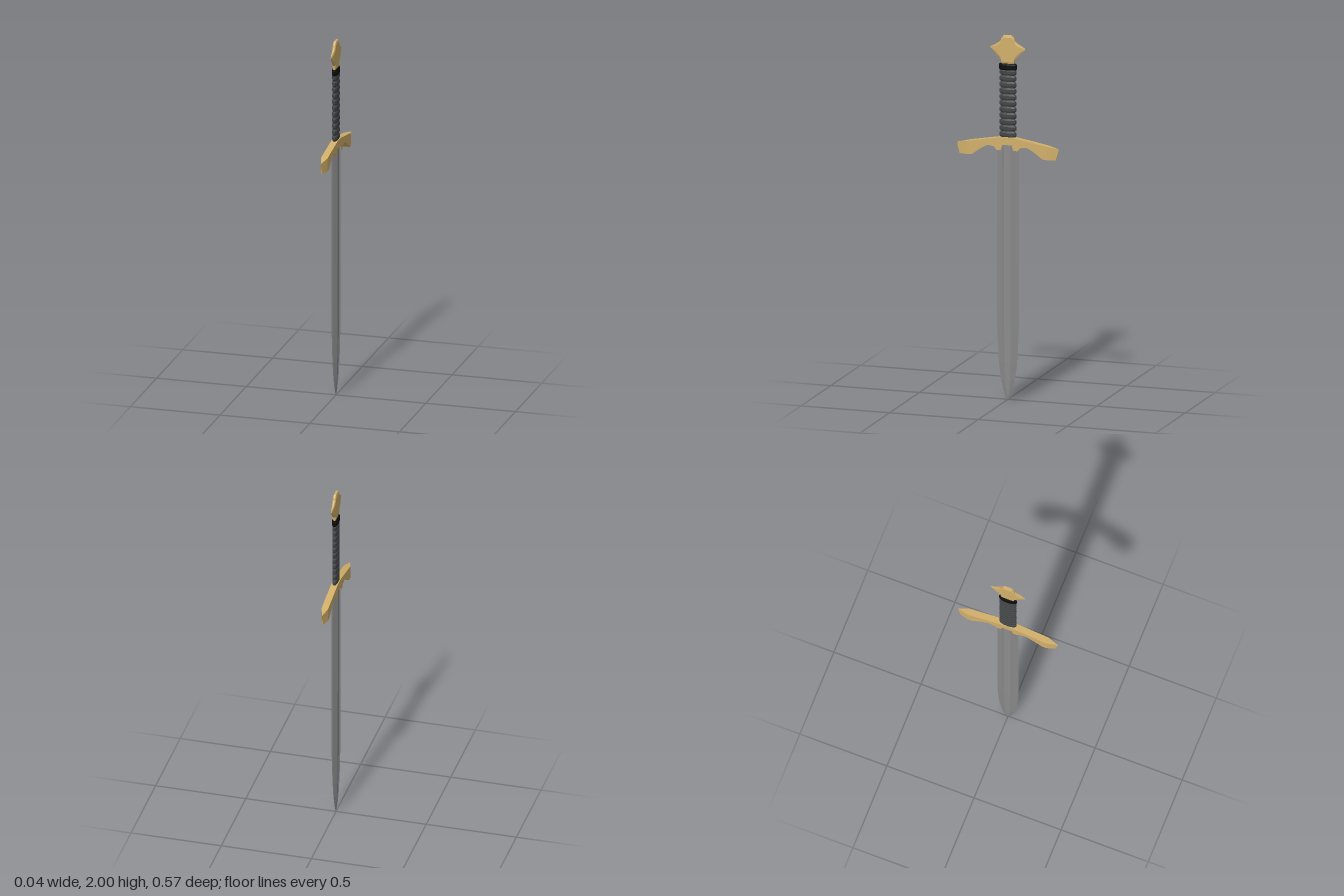
import * as THREE from 'three';

// Skin a list of closed rings (counterclockwise about the direction of travel) with flat facets
function loft(rings) {
  const pos = [];
  const tri = (a, b, c) => pos.push(...a, ...b, ...c);
  const n = rings[0].length;
  for (let i = 0; i < rings.length - 1; i++) {
    for (let j = 0; j < n; j++) {
      const k = (j + 1) % n;
      const a = rings[i][j], b = rings[i][k], c = rings[i + 1][k], d = rings[i + 1][j];
      tri(a, b, c);
      tri(a, c, d);
    }
  }
  const first = rings[0], last = rings[rings.length - 1];
  for (let j = 1; j < n - 1; j++) {
    tri(first[0], first[j + 1], first[j]);
    tri(last[0], last[j], last[j + 1]);
  }
  const g = new THREE.BufferGeometry();
  g.setAttribute('position', new THREE.Float32BufferAttribute(pos, 3));
  g.computeVertexNormals();
  return g;
}

// Repeat half-profile rows [z, top, bottom, halfThickness] on the -z side
function mirrorRows(rows) {
  const left = rows.filter(r => r[0] > 0).reverse().map(([z, ...rest]) => [-z, ...rest]);
  return [...left, ...rows];
}

export function createModel() {
  const mat = (name, color) => {
    const m = new THREE.MeshStandardMaterial({ color });
    m.name = name;
    return m;
  };
  const steel = mat('steel', 0x8c8c8c);
  const gold = mat('gold', 0xd2b06a);
  const leather = mat('dark leather', 0x434647);
  const black = mat('black', 0x0c0c0c);

  const model = new THREE.Group();
  model.name = 'sword';
  const add = (name, geometry, material) => {
    const mesh = new THREE.Mesh(geometry, material);
    mesh.name = name;
    model.add(mesh);
    return mesh;
  };

  // Blade: sharp edges, two ridges and a sunken fuller; rows are [y, half width, half thickness]
  const bladeRows = [
    [0, 0.001, 0.0005], [0.025, 0.016, 0.004], [0.06, 0.028, 0.007], [0.11, 0.04, 0.010],
    [0.2, 0.051, 0.0135], [0.3, 0.057, 0.0155], [0.4, 0.061, 0.017], [1.41, 0.061, 0.0175],
  ];
  add('blade', loft(bladeRows.map(([y, w, t]) => {
    const side = [[w, 0], [0.45 * w, t], [0.3 * w, 0.65 * t], [-0.3 * w, 0.65 * t], [-0.45 * w, t]];
    return [...side, ...side.map(([z, x]) => [-z, -x])].map(([z, x]) => [x, y, z]);
  })), steel);

  // Crossguard: drooping arms with wedge-shaped ends
  const guardRows = mirrorRows([
    [0, 1.443, 1.4, 0.018], [0.027, 1.442, 1.4, 0.018], [0.034, 1.441, 1.372, 0.018],
    [0.058, 1.437, 1.37, 0.018], [0.075, 1.434, 1.388, 0.018], [0.11, 1.428, 1.394, 0.018],
    [0.15, 1.421, 1.372, 0.018], [0.2, 1.412, 1.336, 0.018], [0.225, 1.407, 1.334, 0.018],
    [0.26, 1.4, 1.334, 0.008], [0.272, 1.398, 1.334, 0.004], [0.286, 1.395, 1.385, 0.0005],
  ]);
  add('crossguard', loft(guardRows.map(([z, top, low, t]) =>
    [[-t, low, z], [t, low, z], [t, top, z], [-t, top, z]])), gold);

  // Grip: stacked wraps, flattened sideways
  const grip = [new THREE.Vector2(0.041, 1.435)];
  const wraps = 11, pitch = 0.375 / wraps;
  for (let i = 0; i < wraps; i++) {
    const y = 1.44 + i * pitch;
    grip.push(
      new THREE.Vector2(0.039, y),
      new THREE.Vector2(0.049, y + pitch * 0.28),
      new THREE.Vector2(0.049, y + pitch * 0.72),
    );
  }
  grip.push(new THREE.Vector2(0.039, 1.815));
  const gripGeometry = new THREE.LatheGeometry(grip, 12).scale(0.33, 1, 1).toNonIndexed();
  gripGeometry.computeVertexNormals();
  add('grip', gripGeometry, leather);

  // Collar above the grip
  const collarProfile = [[0, 1.81], [0.046, 1.81], [0.052, 1.818], [0.052, 1.836], [0.046, 1.845], [0, 1.845]]
    .map(([r, y]) => new THREE.Vector2(r, y));
  const collarGeometry = new THREE.LatheGeometry(collarProfile, 12).scale(0.33, 1, 1).toNonIndexed();
  collarGeometry.computeVertexNormals();
  add('collar', collarGeometry, black);

  // Pommel: four-pointed plate with bevelled rim
  const pommelRows = mirrorRows([
    [0, 2.0, 1.842, 0.010], [0.022, 2.0, 1.842, 0.0095], [0.036, 1.984, 1.845, 0.009],
    [0.04, 1.97, 1.868, 0.009], [0.06, 1.953, 1.89, 0.008], [0.08, 1.942, 1.91, 0.005],
    [0.1, 1.931, 1.927, 0.0005],
  ]);
  add('pommel', loft(pommelRows.map(([z, top, low, t]) => {
    const c = Math.min(0.012, (top - low) * 0.2), e = t * 0.6;
    return [[-e, low, z], [e, low, z], [t, low + c, z], [t, top - c, z],
      [e, top, z], [-e, top, z], [-t, top - c, z], [-t, low + c, z]];
  })), gold);

  return model;
}
